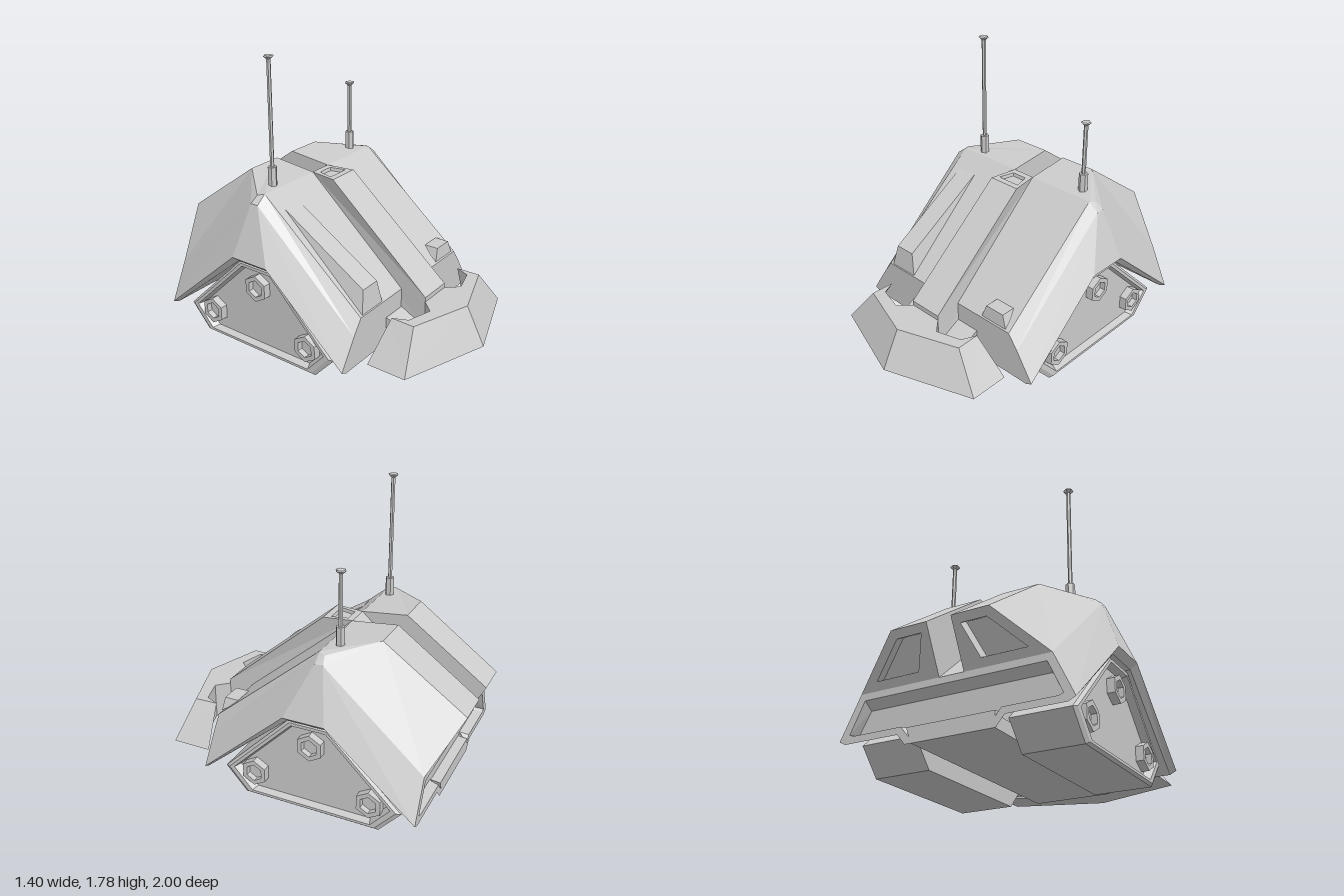
import * as THREE from 'three';

const material = new THREE.MeshStandardMaterial({ color: 0xcccccc, flatShading: true, side: THREE.DoubleSide });
const V = (p) => new THREE.Vector3(...p);

// Triangulates one polygon, keeping its winding
function triangles(points) {
  const pts = points.map(V), n = new THREE.Vector3();
  pts.forEach((p, i) => n.add(p.clone().cross(pts[(i + 1) % pts.length])));
  const a = [Math.abs(n.x), Math.abs(n.y), Math.abs(n.z)];
  const drop = a.indexOf(Math.max(...a));
  const flat = points.map((p) => new THREE.Vector2(...p.filter((_, k) => k !== drop)));
  return THREE.ShapeUtils.triangulateShape(flat, []).flatMap(([i, j, k]) => {
    const t = pts[j].clone().sub(pts[i]).cross(pts[k].clone().sub(pts[i]));
    const order = t.dot(n) < 0 ? [i, k, j] : [i, j, k];
    return order.flatMap((m) => points[m]);
  });
}

// Polygons joining successive rings, with optional caps
function loft(rings, capStart = false, capEnd = true) {
  const faces = [];
  for (let r = 0; r < rings.length - 1; r++) {
    const a = rings[r], b = rings[r + 1];
    a.forEach((_, i) => {
      const j = (i + 1) % a.length;
      faces.push([a[i], a[j], b[j], b[i]]);
    });
  }
  if (capStart) faces.push([...rings[0]].reverse());
  if (capEnd) faces.push(rings[rings.length - 1]);
  return faces;
}

const mirror = (faces) => faces.map((f) => f.map(([x, y, z]) => [-x, y, z]).reverse());
const both = (faces) => [...faces, ...mirror(faces)];
const shift = (ring, dx, dy, dz) => ring.map(([x, y, z]) => [x + dx, y + dy, z + dz]);

function solid(name, faces) {
  const geo = new THREE.BufferGeometry();
  geo.setAttribute('position', new THREE.Float32BufferAttribute(faces.flatMap(triangles), 3));
  geo.computeVertexNormals();
  const mesh = new THREE.Mesh(geo, material);
  mesh.name = name;
  return mesh;
}

function createHull() {
  const group = new THREE.Group();
  group.name = 'hull';
  // Shoulder, front, rear and roof corners of the +x half
  const A = [.52, 1, -.2], B = [.585, .95, -.2], A2 = [.54, .99, -.24], B2 = [.585, .95, -.25];
  const C = [.7, .63, -.05], D = [.7, .63, -.31], E = [.52, .42, .49], F = [.585, .33, .49];
  const G = [.7, .15, .49], K = [.7, .15, -.86], J = [.58, .4, -.86];
  const H = [.31, 1.03, -.49], I = [.3, .66, -1];
  const a0 = [.075, 1, -.2], H0 = [.075, 1.03, -.49], I0 = [.075, .66, -1], P = [.075, .4, -.86];
  const top = [0, 1, -.2], low = [0, .42, .49];
  const outer = [G, C, D, K];
  const lip = [[.66, .13, .49], [.66, .595, -.06], [.66, .595, -.3], [.66, .13, -.86]];
  const inner = lip.map(([, y, z]) => [.28, y, z]);
  const half = [
    [top, low, E, A], [A, E, F, B], [B, F, G, C],
    [A, B, B2, A2], [B, C, D, B2], [B2, D, K, J],
    [H, A2, B2], [H, B2, J], [H, J, I],
    [H0, a0, A, A2, H], [I0, H0, H, I],
    [a0, H0, I0, P], [top, a0, P, [0, .4, -.86]],
    [low, [0, .13, .49], lip[0], G, F, E],
    inner,
  ];
  // Arch over the track
  for (let i = 0; i < 3; i++) {
    half.push([outer[i], lip[i], lip[i + 1], outer[i + 1]]);
    half.push([lip[i], inner[i], inner[i + 1], lip[i + 1]]);
  }
  group.add(solid('armourShell', both(half)));

  // Recessed openings under the rear overhang
  const frame = [[.12, .615, -.976], [.275, .615, -.976], [.46, .445, -.884], [.19, .445, -.884]];
  group.add(solid('rearOpenings', both(loft([[I0, I, J, P], frame, shift(frame, 0, .03, .055)]))));

  // Recessed back panel with a lowered centre
  const ring = (pts, z) => [
    ...pts.map(([x, y]) => [x, y, z]),
    ...[...pts].reverse().map(([x, y]) => [-x, y, z]),
  ];
  const rim = ring([[.58, .4], [.7, .15], [.66, .13], [.32, .13], [.27, .07]], -.86);
  const inset = ring([[.55, .36], [.635, .18], [.61, .17], [.3, .17], [.25, .11]], -.86);
  const floor = ring([[.55, .32], [.62, .19], [.6, .18], [.29, .18], [.24, .12]], -.8);
  group.add(solid('backPanel', loft([rim, inset, floor])));

  // Belly with an upswept nose, one edge chamfered
  const belly = (z, top, bottom, r) => [[-.265, top, z], [-.265, bottom, z], [r, bottom, z], [.265, top, z]];
  group.add(solid('belly', loft([
    belly(-.86, .16, .07, .23), belly(.5, .3, .07, .23), belly(.66, .22, .16, .25),
  ], true)));
  return group;
}

function createSpine() {
  const group = new THREE.Group();
  group.name = 'frontSpine';
  const back = [.075, 1, -.2], crest = [.105, 1, -.02], nose = [.11, .42, .66], foot = [.11, .2, .66];
  group.add(solid('spine', both([
    [[0, 1, -.02], [0, .42, .66], nose, crest],
    [[0, .42, .66], [0, .2, .66], foot, nose],
    [back, crest, nose, foot, [.11, .2, .4]],
  ])));
  // Sunken hatch at the crest
  const quad = (w1, z1, w2, z2, y) => [[-w1, y, z1], [-w2, y, z2], [w2, y, z2], [w1, y, z1]];
  group.add(solid('hatch', loft([
    quad(.075, -.2, .105, -.02, 1), quad(.05, -.16, .075, -.06, 1), quad(.048, -.155, .07, -.065, .98),
  ])));
  return group;
}

function createPlow() {
  const notch = [[.335, .69], [.18, .735], [.11, .66]];
  const ring = (y, tip, side) => {
    const pts = [...side, ...notch];
    return [[0, y, tip], ...pts.map(([x, z]) => [x, y, z]), ...pts.reverse().map(([x, z]) => [-x, y, z])];
  };
  return solid('plow', loft([
    ring(.16, 1, [[.555, .81], [.555, .56]]),
    ring(.39, .88, [[.38, .75], [.375, .6]]),
  ], true));
}

function createTrack(side) {
  const group = new THREE.Group();
  group.name = side > 0 ? 'leftTrack' : 'rightTrack';
  const profile = [[.38, .15], [.245, 0], [-.62, 0], [-.755, .15], [-.305, .59], [-.06, .59]];
  const ring = (x, s) => profile.map(([z, y]) => [x, .27 + (y - .27) * s, -.19 + (z + .19) * s]);
  const faces = loft([ring(.28, 1), ring(.63, 1), ring(.645, .95), ring(.645, .89), ring(.6, .85)], true);
  group.add(solid('trackBody', side > 0 ? faces : mirror(faces)));
  // Hollow hexagonal hubs
  const section = [[.085, 0], [.085, .05], [.055, .05], [.055, .015], [0, .015]].map((p) => new THREE.Vector2(...p));
  const hubGeo = new THREE.LatheGeometry(section, 6, Math.PI / 6);
  for (const [z, y] of [[.18, .16], [-.56, .16], [-.19, .435]]) {
    const hub = new THREE.Mesh(hubGeo, material);
    hub.name = 'hub';
    hub.rotation.z = -side * Math.PI / 2;
    hub.position.set(side * .598, y, z);
    group.add(hub);
  }
  return group;
}

function createAntenna(x, z, height) {
  const group = new THREE.Group();
  group.name = 'antenna';
  const part = (name, rTop, rBottom, y0, y1) => {
    const mesh = new THREE.Mesh(new THREE.CylinderGeometry(rTop, rBottom, y1 - y0, 6), material);
    mesh.name = name;
    mesh.position.set(x, (y0 + y1) / 2, z);
    group.add(mesh);
  };
  part('socket', .028, .028, .98, 1.12);
  part('rod', .013, .013, 1.1, height - .015);
  part('tipCone', .032, .013, height - .022, height - .006);
  part('tipCap', .026, .032, height - .006, height);
  return group;
}

export function createModel() {
  const model = new THREE.Group();
  model.name = 'armouredVehicle';
  model.add(createHull(), createSpine(), createPlow(), createTrack(1), createTrack(-1));
  // Raised wedge and small block on the front slope
  model.add(solid('frontWedge', loft([
    [[-.465, .9, -.09], [-.5, .42, .485], [-.3, .42, .485], [-.33, .9, -.09]],
    [[-.465, .91, -.09], [-.465, .565, .465], [-.33, .565, .465], [-.33, .91, -.09]],
  ])));
  model.add(solid('frontBlock', loft([
    [[.32, .5, .385], [.3, .43, .485], [.49, .43, .485], [.47, .5, .385]],
    [[.33, .51, .385], [.33, .51, .475], [.46, .51, .475], [.46, .51, .385]],
  ])));
  model.add(createAntenna(-.39, -.25, 1.785), createAntenna(.41, -.275, 1.455));
  return model;
}
